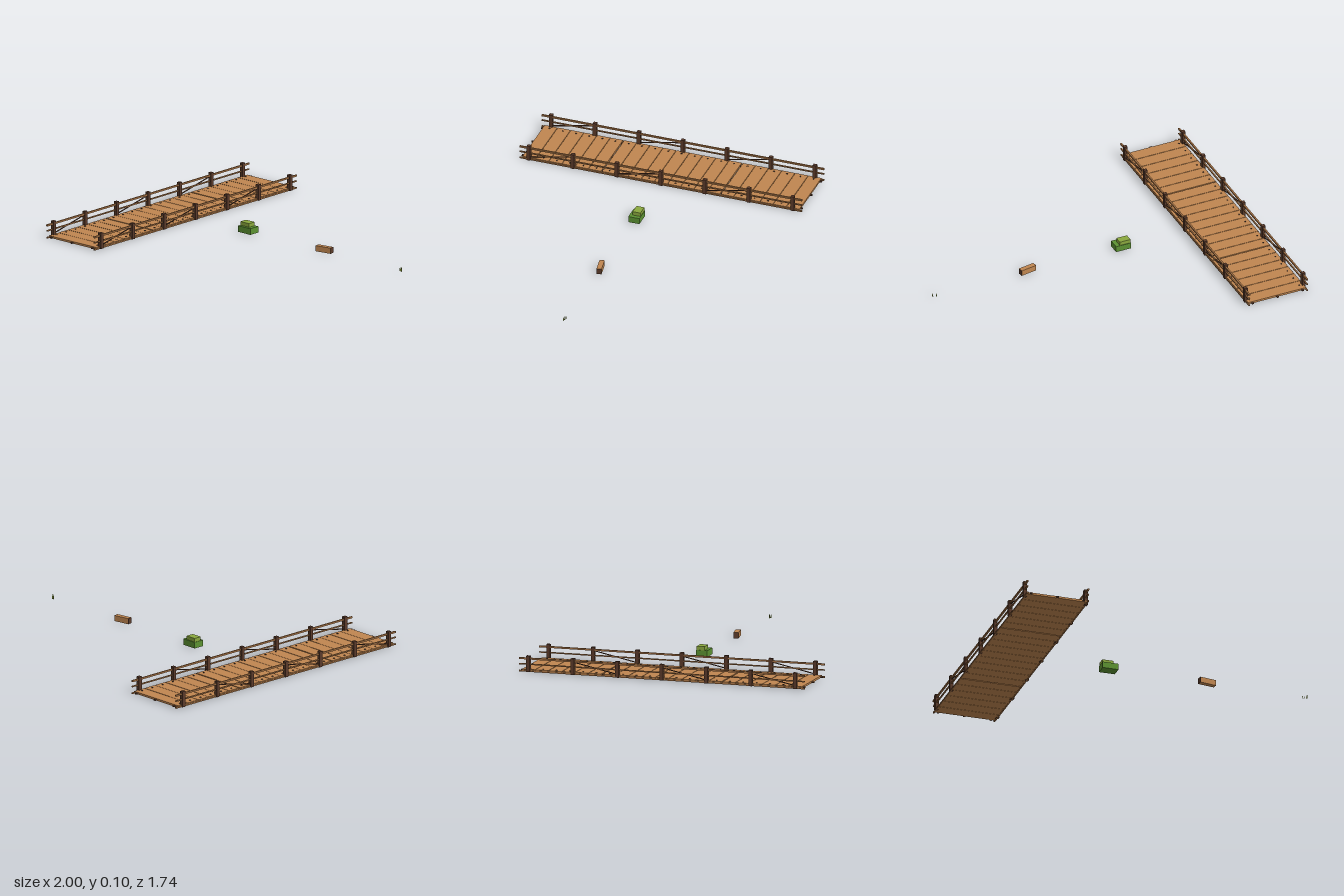
import * as THREE from 'three';

const mat = (name, color, side = THREE.FrontSide) => {
  const m = new THREE.MeshStandardMaterial({ color, side });
  m.name = name;
  return m;
};

export function createModel() {
  const M = {
    plank: mat('plank wood', 0xc08650),
    rail: mat('rail wood', 0xa87446),
    post: mat('post wood', 0x5a3a2a),
    dark: mat('dark nail', 0x3a2a22),
    leaf: mat('bush green', 0x5c9232),
    leafTop: mat('light bush green', 0x8aa83e),
    grass: mat('grass green', 0x93a540, THREE.DoubleSide),
  };
  const root = new THREE.Group();
  root.name = 'bridgeSet';
  const group = (name) => {
    const g = new THREE.Group();
    g.name = name;
    root.add(g);
    return g;
  };
  const box = (parent, name, m, w, h, d, x, y, z) => {
    const b = new THREE.Mesh(new THREE.BoxGeometry(w, h, d), m);
    b.name = name;
    b.position.set(x, y, z);
    parent.add(b);
    return b;
  };

  // Bridge deck: planks let in over three long beams
  const bridge = group('bridge');
  const cx = -0.805, count = 21, pitch = 1.708 / count;
  for (const dx of [-0.16, 0, 0.16]) box(bridge, 'beam', M.post, 0.012, 0.007, 1.73, cx + dx, 0.0065, 0);
  for (let i = 0; i < count; i++) {
    const z = (i - (count - 1) / 2) * pitch;
    // Two joints stand open, the others are nearly closed
    const back = i === 6 || i === 15 ? 0.004 : 0.0015;
    const front = i === 5 || i === 14 ? 0.004 : 0.0015;
    box(bridge, 'plank', M.plank, 0.37, 0.012, pitch - back - front, cx, 0.008, z + (back - front) / 2);
    for (const dx of [-0.16, 0.16]) box(bridge, 'nail', M.dark, 0.008, 0.003, 0.008, cx + dx, 0.015, z);
  }

  // Railings on both sides
  for (const s of [-1, 1]) {
    const railing = new THREE.Group();
    railing.name = s < 0 ? 'rightRailing' : 'leftRailing';
    railing.position.x = cx + s * 0.185;
    bridge.add(railing);
    box(railing, 'topRail', M.rail, 0.01, 0.01, 1.74, 0, 0.078, 0);
    box(railing, 'midRail', M.rail, 0.008, 0.007, 1.74, 0, 0.045, 0);
    box(railing, 'sideBeam', M.rail, 0.008, 0.008, 1.74, 0, 0.004, 0);
    for (let i = 0; i < 7; i++) {
      const z = (3 - i) * 0.271;
      box(railing, 'post', M.post, 0.021, 0.095, 0.022, 0, 0.0475, z);
      // Diagonal brace in every second bay
      if (i % 2 === 0 && i < 6) {
        const brace = box(railing, 'brace', M.post, 0.005, 0.005, 0.276, 0, 0.046, z - 0.1355);
        brace.rotation.x = Math.atan2(0.056, 0.27);
      }
    }
  }

  // Stepped bush
  const bush = group('bush');
  box(bush, 'bushBase', M.leaf, 0.096, 0.037, 0.068, -0.209, 0.0215, -0.002);
  box(bush, 'bushTop', M.leafTop, 0.068, 0.023, 0.048, -0.22, 0.051, -0.009);

  // Turned timber block with darker cut ends
  const log = group('timber');
  log.position.set(0.389, 0, 0);
  log.rotation.y = 0.17;
  box(log, 'timberBlock', M.plank, 0.098, 0.034, 0.03, 0, 0.018, 0);
  for (const s of [-1, 1]) box(log, 'cutEnd', M.post, 0.002, 0.034, 0.03, s * 0.05, 0.018, 0);

  // Tuft of flat tapering blades
  const tuft = group('grassTuft');
  tuft.position.set(0.985, 0, 0);
  const blades = [[-0.011, 0.02, 0.2, 0.15], [-0.004, 0.027, 0.9, 0.1], [0.002, 0.033, 1.2, -0.1], [0.009, 0.024, -0.5, -0.15]];
  for (const [x, h, turn, lean] of blades) {
    const shape = new THREE.Shape([[-0.004, 0], [0.004, 0], [0.0025, h * 0.6], [0, h], [-0.0025, h * 0.6]].map(([a, b]) => new THREE.Vector2(a, b)));
    const blade = new THREE.Mesh(new THREE.ShapeGeometry(shape), M.grass);
    blade.name = 'blade';
    blade.position.set(x, 0, x * 0.4);
    blade.rotation.set(0, turn, lean);
    tuft.add(blade);
  }
  return root;
}
